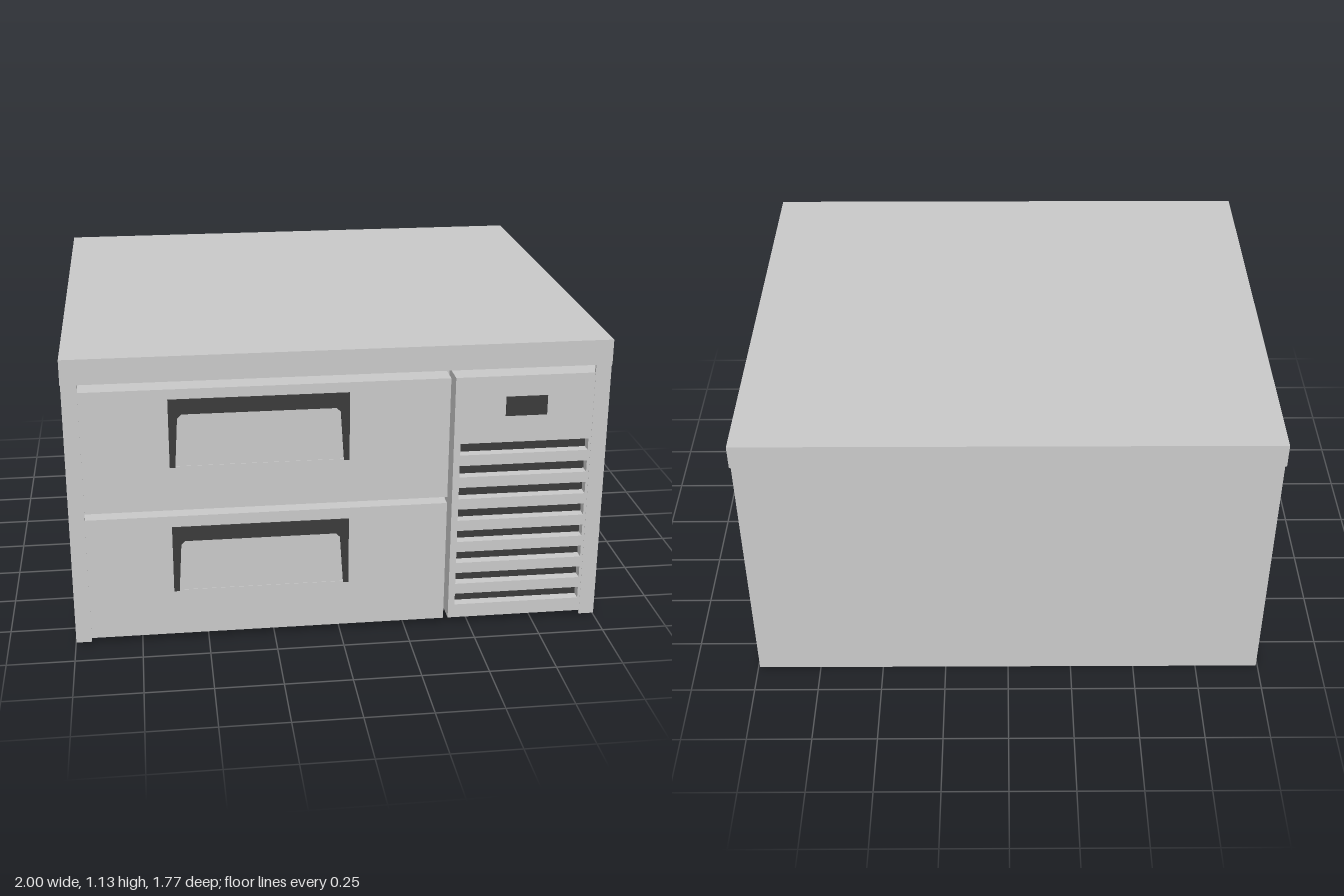
import * as THREE from 'three';

const grey = new THREE.MeshStandardMaterial({ color: 0xcccccc });
const dark = new THREE.MeshStandardMaterial({ color: 0x3c3c3c });

export function createModel() {
  const model = new THREE.Group();

  function add(name, geometry, material = grey) {
    const mesh = new THREE.Mesh(geometry, material);
    mesh.name = name;
    model.add(mesh);
    return mesh;
  }
  // Box given by its limits on each axis
  function box(name, x0, x1, y0, y1, z0, z1, material) {
    const mesh = add(name, new THREE.BoxGeometry(x1 - x0, y1 - y0, z1 - z0), material);
    mesh.position.set((x0 + x1) / 2, (y0 + y1) / 2, (z0 + z1) / 2);
    return mesh;
  }
  const outline = (points) => points.map(([x, y]) => new THREE.Vector2(x, y));
  const rect = (x0, x1, y0, y1) => outline([[x0, y0], [x1, y0], [x1, y1], [x0, y1]]);

  // Cabinet and worktop
  box('cabinet', -0.994, 0.994, 0, 1.035, -0.88, 0.75);
  box('worktop', -1, 1, 1.035, 1.13, -0.882, 0.882);

  // Two drawer fronts, each with a dark hooded handle
  for (const [y0, y1, handleY] of [[0.025, 0.51, 0.205], [0.535, 1.005, 0.705]]) {
    box('drawerFront', -0.998, 0.402, y0, y1, 0.762, 0.88);

    const shape = new THREE.Shape(outline([
      [-0.625, 0], [-0.605, 0], [-0.593, 0.19], [-0.578, 0.205], [-0.017, 0.205],
      [-0.002, 0.19], [0.011, 0], [0.031, 0], [0.031, 0.262], [-0.625, 0.262],
    ]));
    const handle = add('drawerHandle',
      new THREE.ExtrudeGeometry(shape, { depth: 0.012, bevelEnabled: false }), dark);
    handle.position.set(0, handleY, 0.873);
    box('handleSill', -0.605, 0.011, handleY, handleY + 0.004, 0.875, 0.882);
  }

  // Ventilation panel with eight open slots and a dark backing
  const panel = new THREE.Shape(rect(0.42, 0.998, 0.025, 1.005));
  for (let i = 0; i < 8; i++) {
    const y = 0.103 + i * 0.0885;
    panel.holes.push(new THREE.Path(rect(0.445, 0.93, y - 0.023, y + 0.023)));
  }
  const front = add('ventPanel',
    new THREE.ExtrudeGeometry(panel, { depth: 0.04, bevelEnabled: false }));
  front.position.z = 0.84;
  box('ventPanelBody', 0.42, 0.998, 0.025, 1.005, 0.762, 0.84);
  box('ventBacking', 0.435, 0.94, 0.07, 0.755, 0.835, 0.842, dark);
  box('controlDisplay', 0.61, 0.765, 0.85, 0.925, 0.87, 0.884, dark);

  // Thin corner strips flush with the front
  for (const side of [-1, 1]) {
    const inner = side * 0.94, outer = side * 0.998;
    box('cornerStrip', Math.min(inner, outer), Math.max(inner, outer), 0.01, 1.035, 0.87, 0.881);
  }

  return model;
}
